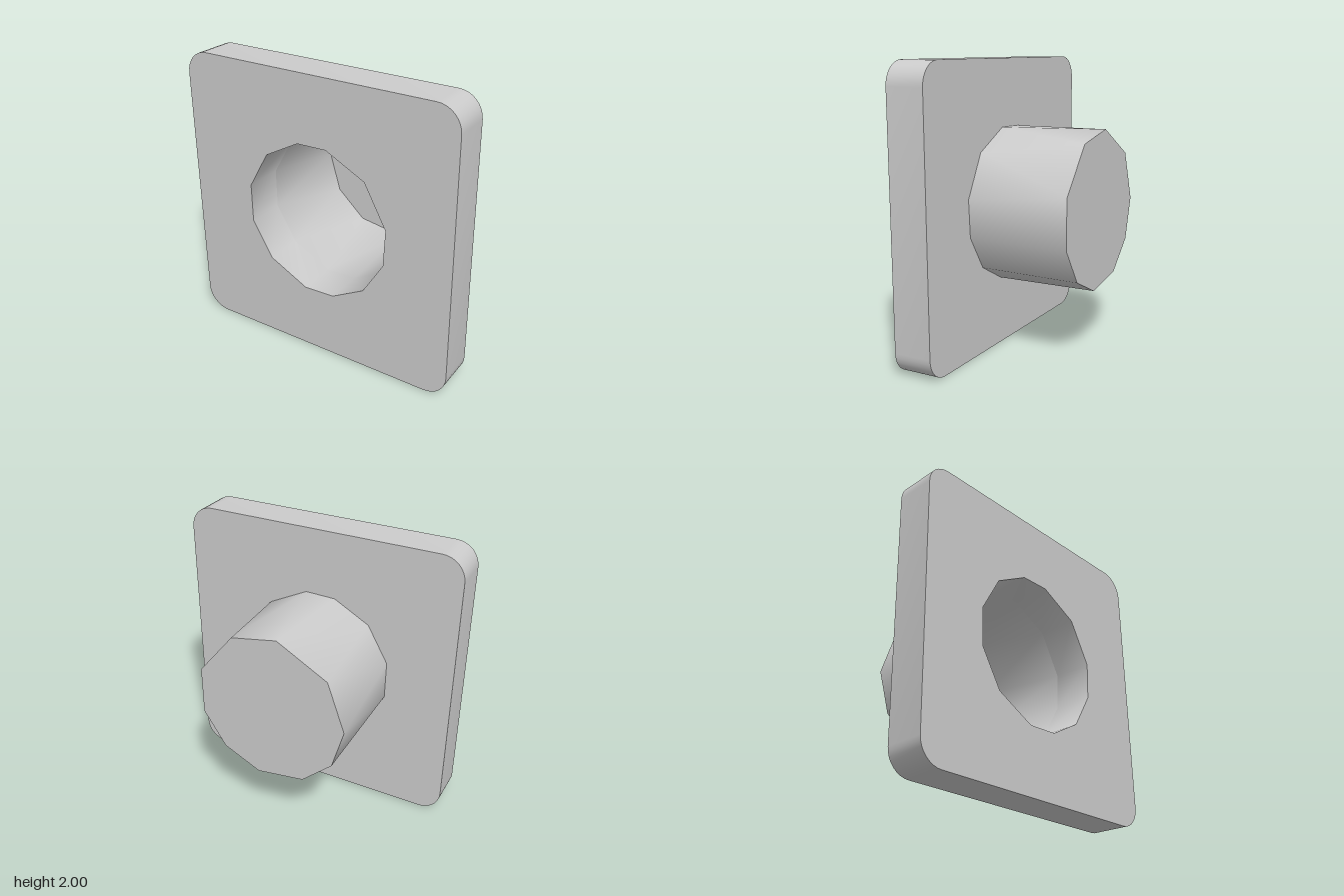
import * as THREE from 'three';
import { toCreasedNormals } from 'three/addons/utils/BufferGeometryUtils.js';

const FRONT = 0.485, PLATE_BACK = 0.215, REAR = -0.485, RADIUS = 0.542, CORNER = 0.16;

// Corner angles (degrees) of the faceted socket at its mouth and at its closed end
const MOUTH = [10.5, 46, 80, 103, 134, 166, 195, 226, 260, 284, 313, 343];
const END = [18, 61, 97, 141, 180, 212, 243, 280, 311, 342];

const ring = (angles) => angles.map((a) => {
  const t = THREE.MathUtils.degToRad(a);
  return new THREE.Vector2(RADIUS * Math.cos(t), RADIUS * Math.sin(t));
});

function roundedSquare(h, r) {
  const s = new THREE.Shape();
  s.moveTo(h - r, -h);
  [[1, -1, -90], [1, 1, 0], [-1, 1, 90], [-1, -1, 180]].forEach(([x, y, a]) => {
    const t = THREE.MathUtils.degToRad(a);
    s.absarc(x * (h - r), y * (h - r), r, t, t + Math.PI / 2, false);
  });
  return s;
}

// Skin between two rings with different corner counts, stepping round both together
function skin(a, angA, zA, b, angB, zB) {
  const pos = [];
  const A = (i) => [a[i % a.length].x, a[i % a.length].y, zA];
  const B = (j) => [b[j % b.length].x, b[j % b.length].y, zB];
  const angle = (list, i) => list[i % list.length] + 360 * Math.floor(i / list.length);
  let i = 0, j = 0;
  while (i < a.length || j < b.length) {
    const stepA = j === b.length || (i < a.length && angle(angA, i + 1) < angle(angB, j + 1));
    if (stepA) {
      pos.push(...A(i), ...B(j), ...A(i + 1));
      i++;
    } else {
      pos.push(...A(i), ...B(j), ...B(j + 1));
      j++;
    }
  }
  const g = new THREE.BufferGeometry();
  g.setAttribute('position', new THREE.Float32BufferAttribute(pos, 3));
  return toCreasedNormals(g, 0.9);
}

export function createModel() {
  const group = new THREE.Group();
  const material = new THREE.MeshStandardMaterial({ color: 0xcccccc, side: THREE.DoubleSide });
  const add = (name, geometry, z = 0) => {
    const mesh = new THREE.Mesh(geometry, material);
    mesh.name = name;
    mesh.position.set(0, 1, z);
    group.add(mesh);
  };
  const mouth = ring(MOUTH), end = ring(END);

  // Square mounting plate with rounded corners and the socket opening
  const plate = roundedSquare(1, CORNER);
  plate.holes.push(new THREE.Path(mouth));
  const plateGeometry = new THREE.ExtrudeGeometry(plate, {
    depth: FRONT - PLATE_BACK, bevelEnabled: false, curveSegments: 4,
  });
  add('plate', toCreasedNormals(plateGeometry, 0.7), PLATE_BACK);

  // Flush round face around the opening
  const face = new THREE.Shape();
  face.absarc(0, 0, 0.81, 0, Math.PI * 2, false);
  face.holes.push(new THREE.Path(mouth));
  add('faceRing', new THREE.ShapeGeometry(face, 32), FRONT + 0.001);

  // Hollow socket behind the plate, closed at the rear
  add('socketWall', skin(mouth, MOUTH, PLATE_BACK, end, END, REAR));
  add('socketEnd', new THREE.ShapeGeometry(new THREE.Shape(end)).rotateY(0), REAR);

  return group;
}
